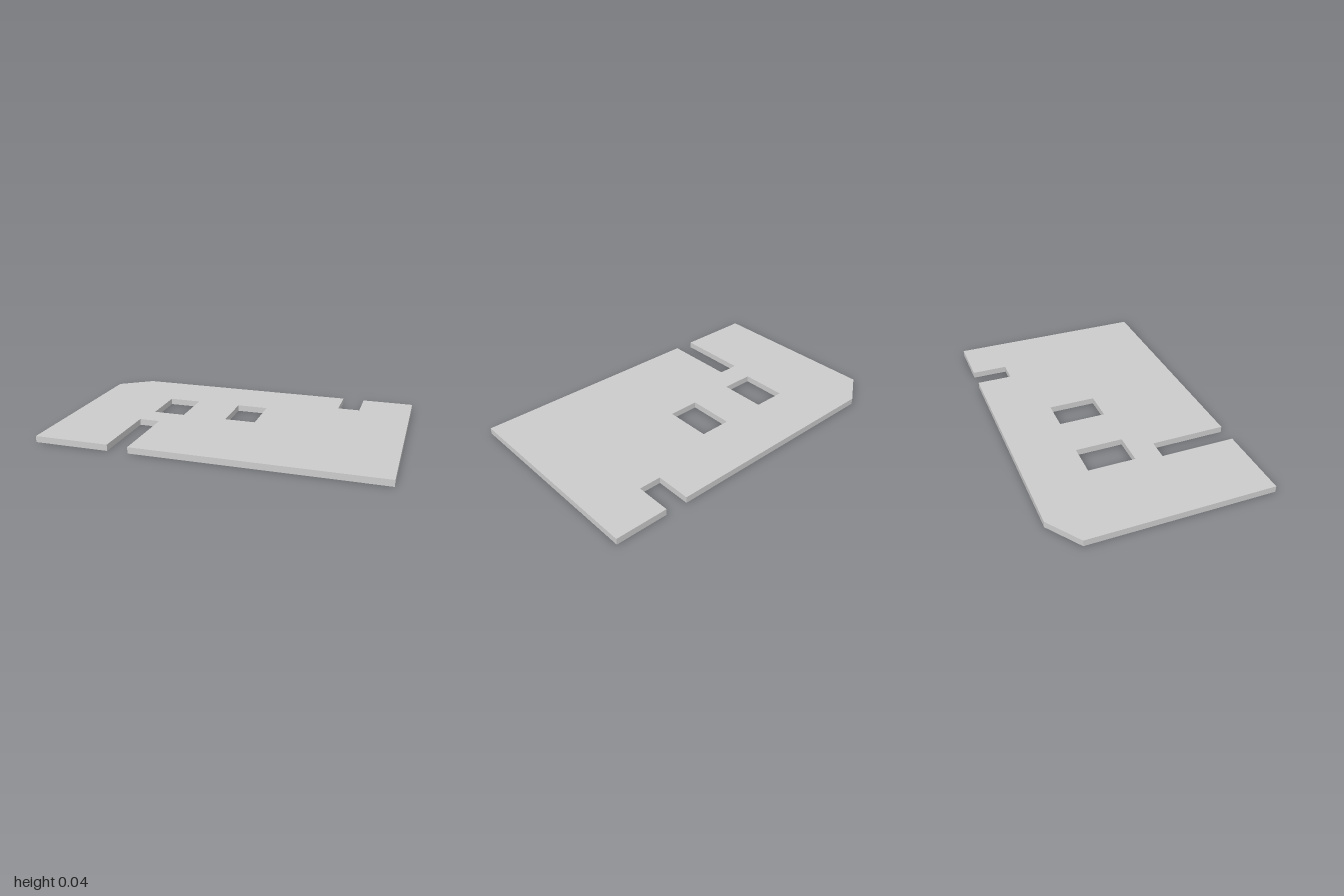
import * as THREE from 'three';
import { mergeGeometries } from 'three/addons/utils/BufferGeometryUtils.js';

const HEIGHT = 0.037;
const material = new THREE.MeshStandardMaterial({
  color: 0xcccccc, flatShading: true, side: THREE.DoubleSide,
});

// Outline as [x, z], counter-clockwise seen from above, with two edge slots and a cut corner
const outline = [
  [-1, 0.602], [-0.555, 0.602], [-0.555, 0.164], [-0.432, 0.164], [-0.432, 0.602],
  [1, 0.602], [1, -0.602],
  [0.69, -0.602], [0.69, -0.392], [0.558, -0.392], [0.558, -0.602],
  [-0.81, -0.602], [-1, -0.468],
];

// Rectangular opening, clockwise so that its walls face into the hole
const opening = (x0, x1, z0, z1) => [[x0, z0], [x1, z0], [x1, z1], [x0, z1]];
const openings = [
  opening(-0.523, -0.331, -0.262, 0.014),
  opening(-0.063, 0.123, -0.262, 0.014),
];

const toPoints = (loop) => loop.map(([x, z]) => new THREE.Vector2(x, -z));

// Upright walls following a closed loop
function wallLoop(loop) {
  return mergeGeometries(loop.map(([x0, z0], i) => {
    const [x1, z1] = loop[(i + 1) % loop.length];
    return new THREE.PlaneGeometry(Math.hypot(x1 - x0, z1 - z0), HEIGHT)
      .rotateY(Math.atan2(z0 - z1, x1 - x0))
      .translate((x0 + x1) / 2, HEIGHT / 2, (z0 + z1) / 2);
  }));
}

export function createModel() {
  const group = new THREE.Group();
  group.name = 'slottedPanel';
  const add = (name, geometry) => {
    const mesh = new THREE.Mesh(geometry, material);
    mesh.name = name;
    group.add(mesh);
  };

  // Top sheet; the underside is left open
  const shape = new THREE.Shape(toPoints(outline));
  shape.holes = openings.map((loop) => new THREE.Path(toPoints(loop)));
  add('topSheet', new THREE.ShapeGeometry(shape).rotateX(-Math.PI / 2).translate(0, HEIGHT, 0));

  // Outer rim and the rims of the openings
  add('outerRim', wallLoop(outline));
  openings.forEach((loop, i) => add(`openingRim${i + 1}`, wallLoop(loop)));

  return group;
}
